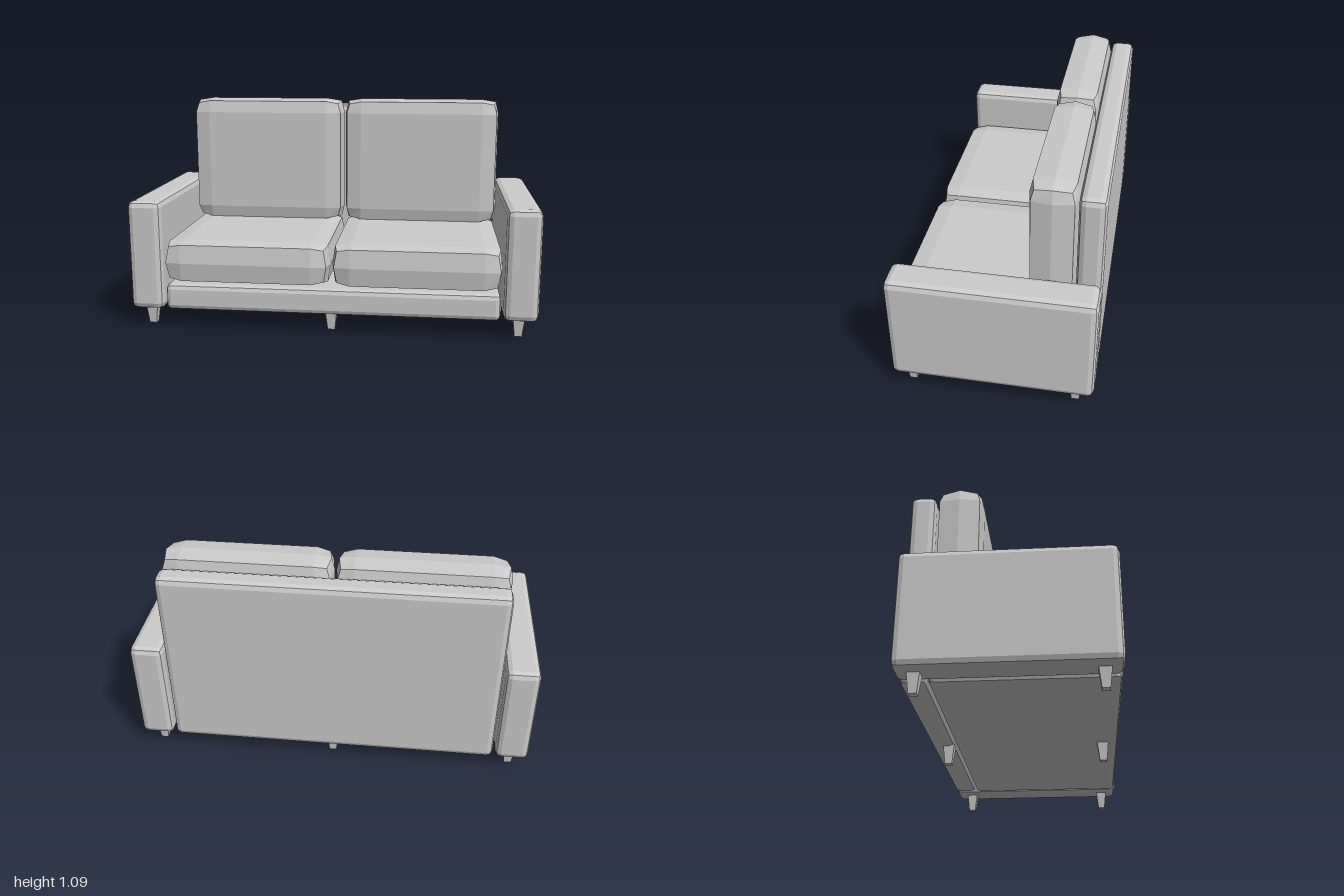
import * as THREE from 'three';
import { RoundedBoxGeometry } from 'three/addons/geometries/RoundedBoxGeometry.js';

const material = new THREE.MeshStandardMaterial({ color: 0xcccccc, flatShading: true });

// Bevelled block given by its minimum and maximum corners
function block(name, min, max, bevel) {
  const size = max.map((v, i) => v - min[i]);
  const mesh = new THREE.Mesh(new RoundedBoxGeometry(...size, 1, bevel), material);
  mesh.position.set(...max.map((v, i) => (v + min[i]) / 2));
  mesh.name = name;
  return mesh;
}

// Puffy cushion: rims of every face are pulled in, so each face bulges slightly
function cushion(name, min, max, thinAxis, inset) {
  const half = max.map((v, i) => (v - min[i]) / 2);
  const segments = half.map((_, i) => (i === thinAxis ? 2 : 4));
  const geometry = new THREE.BoxGeometry(2, 2, 2, ...segments);
  const pos = geometry.attributes.position;
  for (let i = 0; i < pos.count; i++) {
    const u = [pos.getX(i), pos.getY(i), pos.getZ(i)];
    const rim = u.map((v) => (Math.abs(v) > 0.99 ? 1 : 0));
    const p = u.map((v, a) => {
      if (!rim[a]) return Math.sign(Math.round(v * 4)) * half[a] * 0.78;
      const pull = rim[0] + rim[1] + rim[2] - 1;
      return Math.sign(v) * (half[a] - inset[a] * pull);
    });
    pos.setXYZ(i, ...p);
  }
  geometry.computeVertexNormals();
  const mesh = new THREE.Mesh(geometry, material);
  mesh.position.set(...max.map((v, i) => (v + min[i]) / 2));
  mesh.name = name;
  return mesh;
}

export function createModel() {
  const sofa = new THREE.Group();
  sofa.name = 'sofa';

  // Frame
  sofa.add(block('base', [-0.82, 0.09, -0.355], [0.82, 0.22, 0.465], 0.025));
  sofa.add(block('backrest', [-0.82, 0.09, -0.478], [0.82, 1.05, -0.358], 0.03));

  for (const side of [-1, 1]) {
    const label = side > 0 ? 'left' : 'right';
    const x = side * 0.915;
    sofa.add(block(label + 'Arm', [x - 0.083, 0.09, -0.478], [x + 0.083, 0.635, 0.47], 0.03));

    // Seat and back cushions
    const c = side * 0.416;
    sofa.add(cushion(label + 'SeatCushion', [c - 0.412, 0.23, -0.35], [c + 0.412, 0.435, 0.478], 1, [0.014, 0.012, 0.012]));
    sofa.add(cushion(label + 'BackCushion', [c - 0.412, 0.425, -0.357], [c + 0.412, 1.092, -0.14], 2, [0.014, 0.012, 0.014]));
  }

  // Tapered square legs
  const legGeometry = new THREE.CylinderGeometry(0.041, 0.025, 0.1, 4).rotateY(Math.PI / 4);
  for (const x of [-0.91, 0, 0.91]) {
    for (const z of [-0.39, 0.39]) {
      const leg = new THREE.Mesh(legGeometry, material);
      leg.position.set(x, 0.05, z);
      leg.name = z > 0 ? 'frontLeg' : 'backLeg';
      sofa.add(leg);
    }
  }
  return sofa;
}
